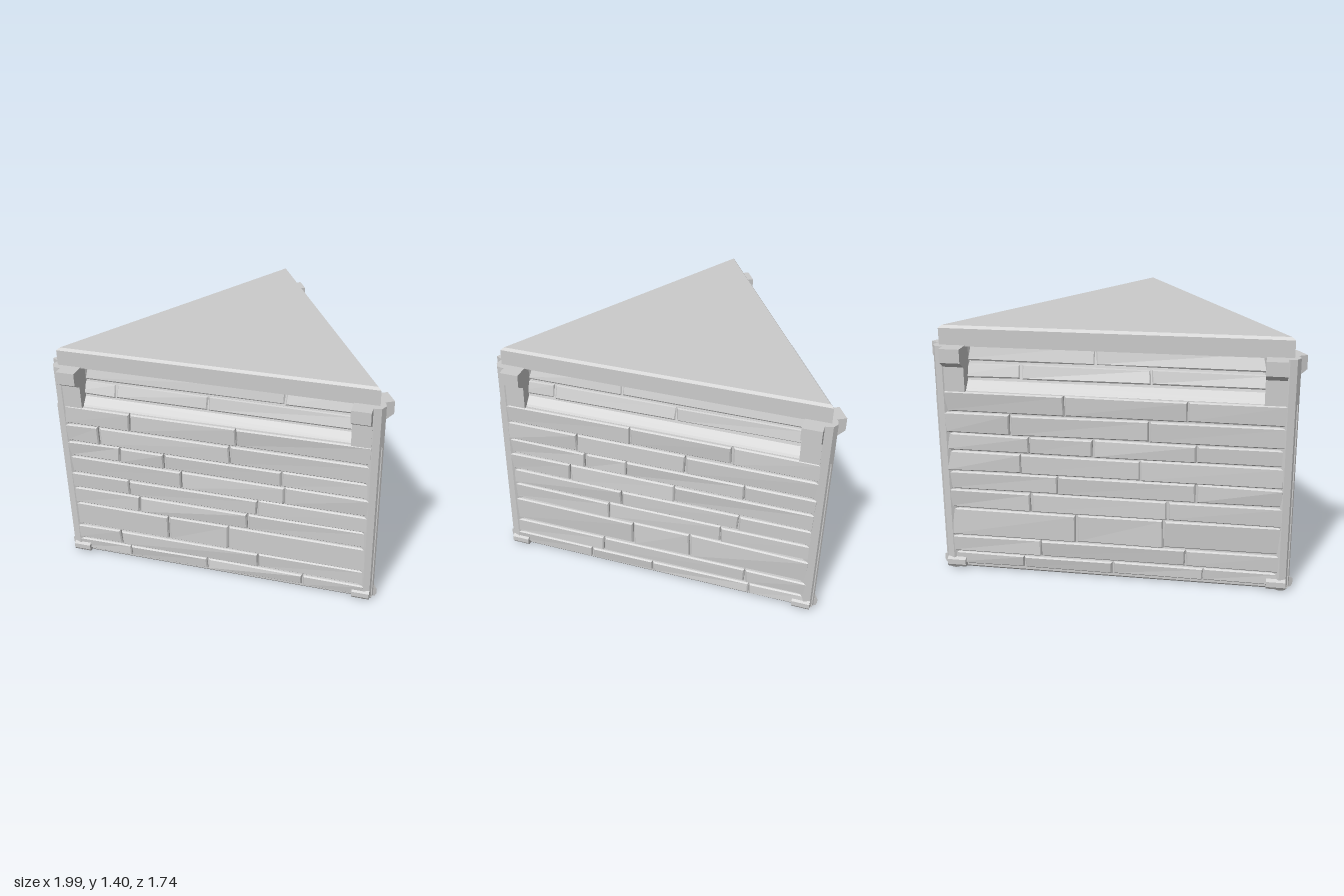
import * as THREE from 'three';

const material = new THREE.MeshStandardMaterial({ color: 0xcccccc, flatShading: true });

// small repeatable random numbers in -1..1
let seed = 7;
const rand = () => {
  seed = (seed * 16807) % 2147483647;
  return (seed / 2147483647) * 2 - 1;
};

function add(parent, name, geometry, x = 0, y = 0, z = 0) {
  const mesh = new THREE.Mesh(geometry, material);
  mesh.name = name;
  mesh.position.set(x, y, z);
  parent.add(mesh);
  return mesh;
}

// solid turned from [radius, y] points, with few sides
const turned = (points, sides) =>
  new THREE.LatheGeometry(points.map(([r, y]) => new THREE.Vector2(r, y)), sides);

// triangular solid from [distance of the face from the axis, y] points
const triangular = (points) => turned(points.map(([r, y]) => [r * 2, y]), 3);

// side profile of [z, y] points, extruded along x from x0 to x1
function profileAlongX(points, x0, x1) {
  const shape = new THREE.Shape(points.map(([z, y]) => new THREE.Vector2(-z, y)));
  return new THREE.ExtrudeGeometry(shape, { depth: x1 - x0, bevelEnabled: false })
    .rotateY(Math.PI / 2).translate(x0, 0, 0);
}

// rough brick: chamfered rim and an uneven outer face
function brick(x0, x1, y0, y1, depth, leanL = 0, leanR = 0) {
  const corner = [0, 1, 2, 3].map(() => ({ x: rand() * 0.004, y: rand() * 0.003, z: rand() * 0.006 }));
  const g = new THREE.BoxGeometry(1, 1, 1, 1, 1, 2);
  const p = g.attributes.position;
  for (let i = 0; i < p.count; i++) {
    const right = p.getX(i) > 0, top = p.getY(i) > 0;
    const layer = Math.round(p.getZ(i) * 2) + 1;
    const c = corner[(right ? 1 : 0) + (top ? 2 : 0)];
    const inset = layer === 2 ? 0.007 : 0;
    const x = right ? x1 - inset + (top ? leanR : 0) : x0 + inset + (top ? leanL : 0);
    const y = top ? y1 - inset : y0 + inset;
    const z = [-0.02, depth - 0.008, depth][layer] + (layer ? c.z : 0);
    p.setXYZ(i, x + c.x, y + c.y, z);
  }
  return g;
}

// one course of bricks split at the given joints
function course(parent, name, x0, x1, y0, y1, joints, depth, lean = 0) {
  const ends = [x0, ...joints, x1];
  for (let i = 0; i < ends.length - 1; i++) {
    const leanL = i === 0 ? lean : 0, leanR = i === ends.length - 2 ? -lean : 0;
    add(parent, name, brick(ends[i] + 0.004, ends[i + 1] - 0.004, y0, y1, depth, leanL, leanR));
  }
}

const rows = [0.03, 0.108, 0.21, 0.375, 0.487, 0.595, 0.712, 0.815, 0.935, 1.055];

// joint positions per course, the last two for the sloping courses
const walls = [
  { name: 'leftWall', angle: Math.PI / 3, joints: [[-0.41, -0.02, 0.58], [-0.33, 0.55], [-0.14, 0.21],
    [-0.29, 0.39], [-0.21, 0.49], [-0.53, 0.11], [-0.43, -0.18, 0.51], [-0.48, 0.17], [-0.16, 0.43],
    [-0.63, 0.09], [-0.23]] },
  { name: 'rightWall', angle: -Math.PI / 3, joints: [[-0.56, -0.06, 0.54], [-0.62, 0.26], [-0.3, 0.08],
    [-0.48, 0.2], [-0.54, 0.26], [-0.2, 0.42], [-0.58, -0.3, 0.4], [-0.7, 0.1], [-0.5, 0.14],
    [-0.6, -0.04], [0.4]] },
  { name: 'backWall', angle: Math.PI, joints: [[-0.5, 0, 0.5], [-0.4, 0.4], [-0.2, 0.28],
    [-0.45, 0.3], [-0.3, 0.45], [-0.5, 0.15], [-0.45, -0.1, 0.45], [-0.55, 0.2], [-0.25, 0.4],
    [-0.5, 0.2], [-0.1]] },
];

function createWall({ name, angle, joints }) {
  const wall = new THREE.Group();
  wall.name = name;
  wall.rotation.y = angle;

  // upright courses
  for (let i = 0; i < 9; i++) {
    const face = new THREE.Group();
    face.name = 'brickCourse';
    face.position.z = 0.55;
    course(face, 'brick', -0.915, 0.915, rows[i] + 0.003, rows[i + 1] - 0.004, joints[i], 0.024);
    wall.add(face);
  }

  // two courses leaning inwards under the roof
  const slope = new THREE.Group();
  slope.name = 'slopingCourses';
  slope.position.set(0, 1.1, 0.505);
  slope.rotation.x = -Math.atan2(0.06, 0.2);
  course(slope, 'slopingBrick', -0.87, 0.87, 0.012, 0.09, joints[9], 0.014, 0.04);
  course(slope, 'slopingBrick', -0.83, 0.83, 0.1, 0.205, joints[10], 0.014, 0.05);
  wall.add(slope);

  // brackets and feet beside the corner posts
  const bracket = [[0.44, 1.05], [0.575, 1.05], [0.575, 1.185], [0.63, 1.22], [0.63, 1.295], [0.44, 1.295]];
  const foot = [[0.5, 0.015], [0.578, 0.015], [0.588, 0.03], [0.588, 0.06], [0.57, 0.072], [0.5, 0.072]];
  for (const side of [-1, 1]) {
    const span = (a, b) => (side > 0 ? [a, b] : [-b, -a]);
    add(wall, 'bracket', profileAlongX(bracket, ...span(0.79, 0.9)));
    add(wall, 'foot', profileAlongX(foot, ...span(0.84, 0.945)));
  }
  return wall;
}

export function createModel() {
  seed = 7;
  const model = new THREE.Group();
  model.name = 'triangularBrickBlock';
  const body = new THREE.Group();
  body.name = 'body';
  body.position.z = -0.243;
  model.add(body);

  // solid core with a sloped ledge near the top
  add(body, 'core', triangular([[0, 0.005], [0.545, 0.005], [0.553, 0.015], [0.553, 1.05], [0.545, 1.062],
    [0.51, 1.1], [0.45, 1.3], [0, 1.3]]));

  // flat roof slab with a fine bevelled rim
  add(body, 'roofSlab', triangular([[0, 1.29], [0.537, 1.29], [0.537, 1.385], [0.526, 1.4], [0, 1.4]]));

  // corner posts
  for (let i = 0; i < 3; i++) {
    const a = (i * Math.PI * 2) / 3;
    const post = add(body, 'cornerPost',
      turned([[0, 0], [0.036, 0], [0.05, 0.022], [0.05, 1.295], [0, 1.295]], 8),
      Math.sin(a) * 1.055, 0, Math.cos(a) * 1.055);
    post.rotation.y = a + Math.PI / 8;
  }

  walls.forEach((w) => body.add(createWall(w)));
  return model;
}
